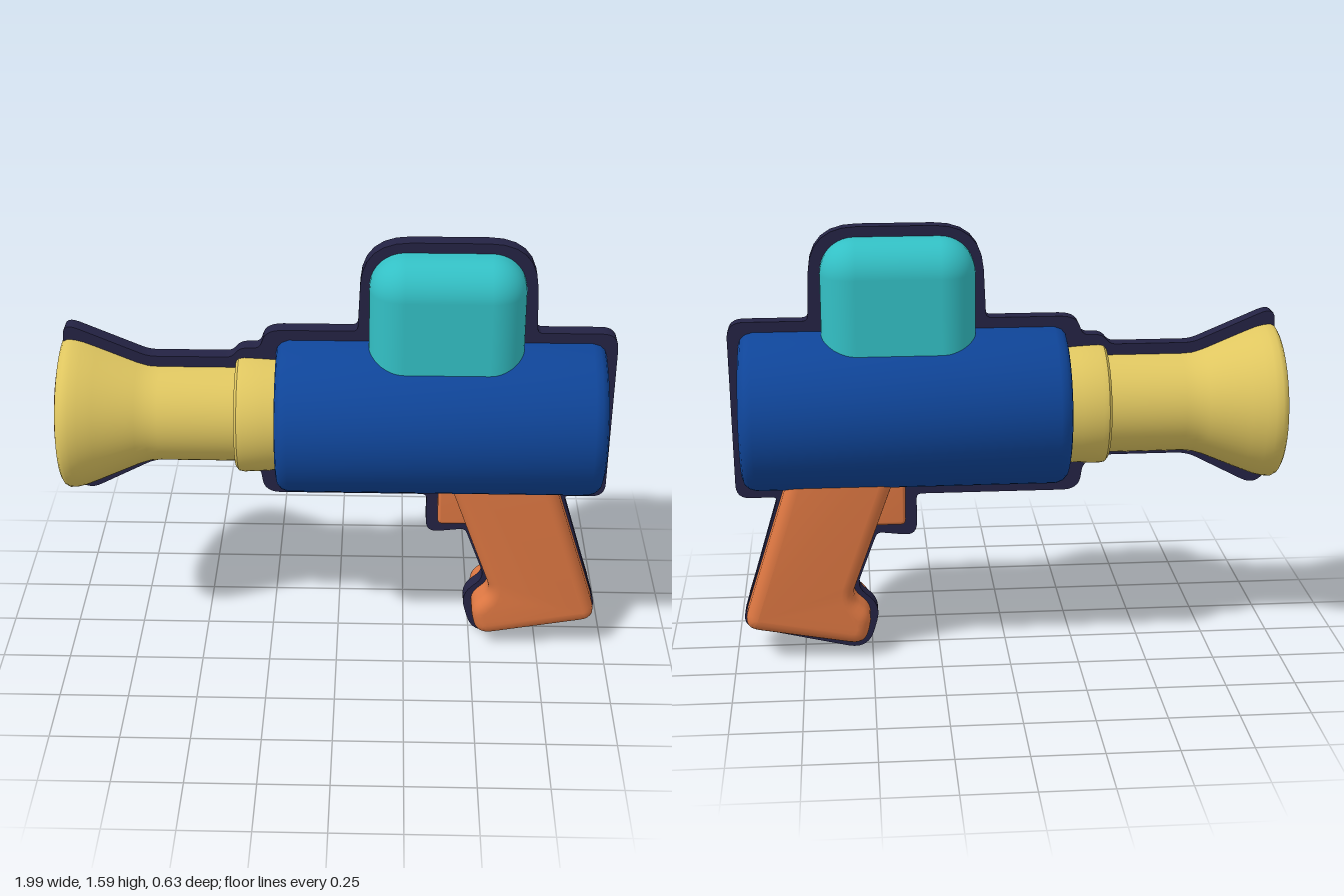
import * as THREE from 'three';
import { toCreasedNormals } from 'three/addons/utils/BufferGeometryUtils.js';
import { RoundedBoxGeometry } from 'three/addons/geometries/RoundedBoxGeometry.js';

const material = (name, color) => {
  const m = new THREE.MeshStandardMaterial({ color });
  m.name = name;
  return m;
};

// Closed polygon of [x, y, cornerRadius] with softened corners
function roundedShape(points) {
  const shape = new THREE.Shape();
  const n = points.length;
  points.forEach(([x, y, r = 0.02], i) => {
    const p = new THREE.Vector2(x, y);
    const toward = ([qx, qy]) => {
      const d = new THREE.Vector2(qx, qy).sub(p);
      return p.clone().addScaledVector(d.clone().normalize(), Math.min(r, d.length() * 0.48));
    };
    const a = toward(points[(i + n - 1) % n]);
    const b = toward(points[(i + 1) % n]);
    if (i === 0) shape.moveTo(a.x, a.y);
    else shape.lineTo(a.x, a.y);
    shape.quadraticCurveTo(x, y, b.x, b.y);
  });
  shape.closePath();
  return shape;
}

// Extrusion centred on z = 0, with an optional rounded edge that stays inside the outline
function slab(points, halfDepth, bevel = 0) {
  const geo = new THREE.ExtrudeGeometry(roundedShape(points), {
    depth: 2 * (halfDepth - bevel), curveSegments: 6,
    bevelEnabled: bevel > 0, bevelThickness: bevel, bevelSize: bevel, bevelOffset: -bevel, bevelSegments: 5,
  });
  geo.translate(0, 0, -(halfDepth - bevel));
  return toCreasedNormals(geo, 0.8);
}

// Revolve [x, radius] points about the long axis, slightly flattened in y
const AXIS_Y = 0.925;
function turned(profile) {
  const geo = new THREE.LatheGeometry(profile.map(([x, r]) => new THREE.Vector2(r, x)), 64);
  geo.rotateZ(-Math.PI / 2);
  geo.scale(1, 0.935, 1);
  geo.translate(0, AXIS_Y, 0);
  return toCreasedNormals(geo, 0.6);
}

export function createModel() {
  const group = new THREE.Group();
  const blue = material('blue', 0x0f4599);
  const yellow = material('yellow', 0xdfc660);
  const orange = material('orange', 0xdd7742);
  const teal = material('teal', 0x33c0c5);
  const navy = material('dark navy', 0x242344);
  const add = (name, geo, mat) => {
    const mesh = new THREE.Mesh(geo, mat);
    mesh.name = name;
    group.add(mesh);
    return mesh;
  };

  // Main body with rounded ends
  add('body', turned([
    [-0.22, 0], [-0.22, 0.265], [-0.215, 0.287], [-0.2, 0.304], [-0.175, 0.314],
    [0.905, 0.314], [0.93, 0.306], [0.947, 0.29], [0.955, 0.265], [0.955, 0],
  ]), blue);

  // Collar, neck and flared barrel
  add('barrel', turned([
    [-0.988, 0.285], [-0.98, 0.299], [-0.965, 0.307], [-0.94, 0.305], [-0.91, 0.297], [-0.86, 0.276],
    [-0.72, 0.214], [-0.68, 0.201], [-0.64, 0.198], [-0.365, 0.198], [-0.365, 0.222],
    [-0.355, 0.235], [-0.335, 0.239], [-0.26, 0.235], [-0.2, 0.23],
  ]), yellow);

  // Muzzle ring and its recess
  add('muzzle', turned([
    [-0.82, 0], [-0.83, 0.12], [-0.86, 0.155], [-0.97, 0.18], [-0.99, 0.187],
    [-1, 0.2], [-0.998, 0.235], [-0.988, 0.285],
  ]), orange);

  // Tank on top
  const tank = new RoundedBoxGeometry(0.55, 0.7, 0.378, 6, 0.125);
  tank.translate(0.385, 1.205, 0);
  add('tank', tank, teal);

  // Grip and trigger
  add('grip', slab([
    [0.37, 0.8], [0.42, 0.66, 0.01], [0.575, 0.235, 0.04], [0.5, 0.165, 0.04], [0.525, 0.045, 0.06],
    [0.975, 0.125, 0.06], [0.8, 0.67, 0.03], [0.76, 0.8],
  ], 0.153, 0.045), orange);
  add('trigger', slab([[0.37, 0.7], [0.37, 0.49], [0.52, 0.49], [0.52, 0.7]], 0.07, 0.012), orange);

  // Thin centre plate that outlines every part, notched around the muzzle recess
  add('centrePlate', slab([
    [-0.98, 1.18, 0.01], [-0.98, 1.275, 0.06], [-0.68, 1.148, 0.03], [-0.38, 1.148], [-0.35, 1.185, 0.03],
    [-0.28, 1.185], [-0.255, 1.255, 0.06], [0.07, 1.255], [0.085, 1.592, 0.17], [0.695, 1.592, 0.17],
    [0.707, 1.255], [0.995, 1.255, 0.06], [0.985, 0.598, 0.05], [0.835, 0.598],
    [0.985, 0.098, 0.06], [0.515, -0.013, 0.08], [0.465, 0.16, 0.06], [0.555, 0.24, 0.04], [0.475, 0.452],
    [0.328, 0.435, 0.05], [0.328, 0.598], [-0.27, 0.598, 0.06], [-0.285, 0.7, 0.03], [-0.37, 0.73, 0.03],
    [-0.67, 0.73, 0.04], [-0.92, 0.6, 0.05], [-0.98, 0.655, 0.04],
    [-0.98, 0.69, 0.01], [-0.78, 0.76, 0.01], [-0.78, 1.09, 0.01],
  ], 0.031), navy);

  return group;
}
